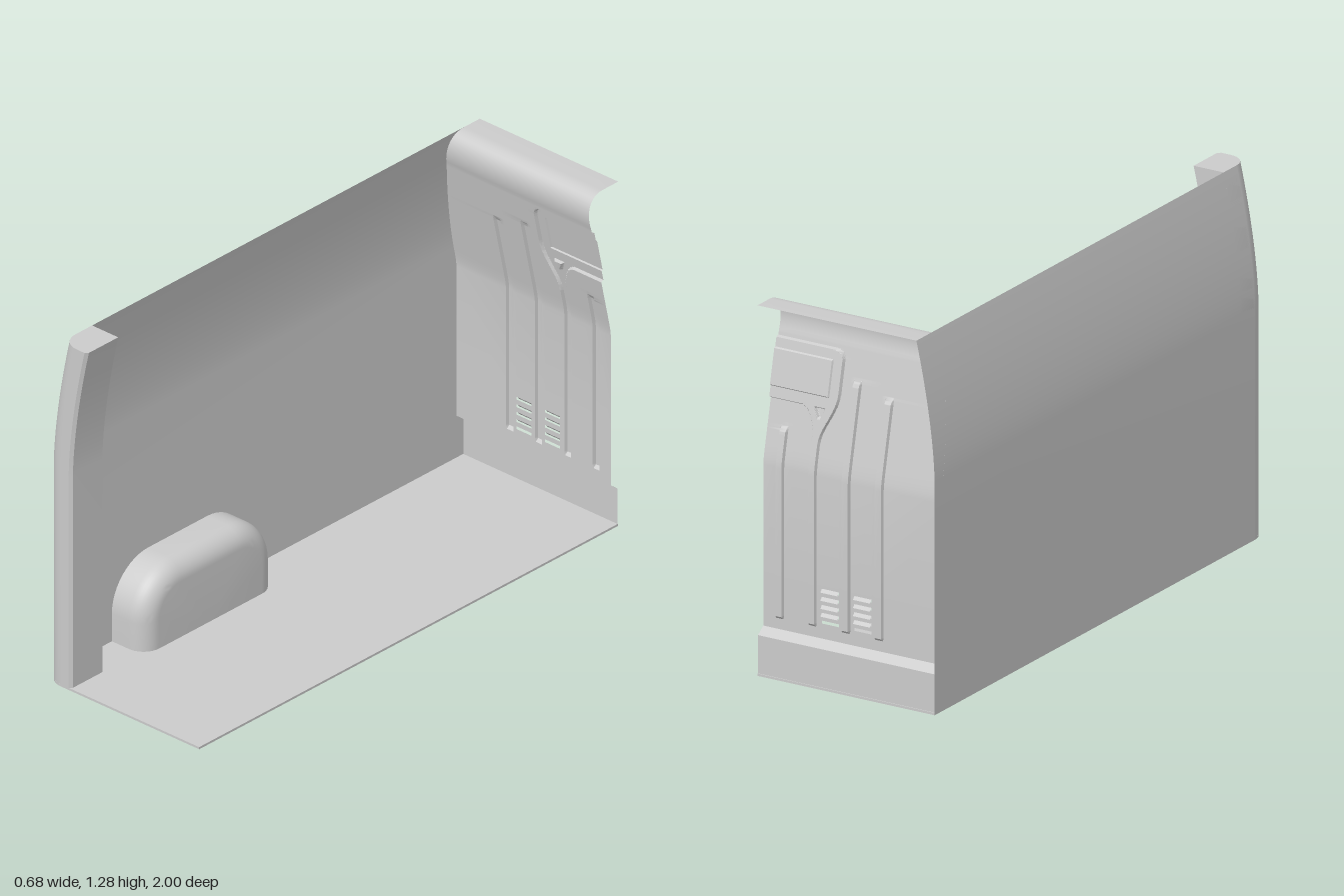
import * as THREE from 'three';
import { toCreasedNormals } from 'three/addons/utils/BufferGeometryUtils.js';

const H = 1.28, R = 0.34;
const V = (x, y, z) => new THREE.Vector3(x, y, z);
const clamp = (v) => Math.min(1, Math.max(0, v));

// outer side curve: upright below, leaning inward toward the roof
const wallX = (y) => -R + 0.07 * Math.pow(Math.max(0, (y - 0.8) / 0.48), 1.6);
const sideLevels = [0, 0.4, 0.8];
for (let i = 1; i <= 14; i++) sideLevels.push(0.8 + (0.48 * i) / 14);

// skin through rows of points; skip(i, j) leaves an opening
function skin(rows, crease = 0.5, skip = () => false) {
  const n = rows[0].length, index = [];
  for (let i = 0; i < rows.length - 1; i++) {
    for (let j = 0; j < n - 1; j++) {
      if (skip(i, j)) continue;
      const a = i * n + j, b = a + n;
      index.push(a, a + 1, b, a + 1, b + 1, b);
    }
  }
  const geo = new THREE.BufferGeometry().setFromPoints(rows.flat());
  geo.setIndex(index);
  return toCreasedNormals(geo, crease);
}

// ---- bulkhead relief -------------------------------------------------
const DEPTH = 0.011, EDGE = 0.004;
const ribs = [[-0.122, -0.09, 0.2, 1.02], [0.005, 0.037, 0.2, 1.055], [0.26, 0.29, 0.2, 0.86]];
const slotsX = [[-0.075, -0.01], [0.05, 0.115]];
const slotsY = [0.22, 0.247, 0.274, 0.302, 0.33];
const SLOT = 0.005;

const frame = new THREE.Shape();
frame.moveTo(0.135, 0.2);
frame.lineTo(0.135, 0.82);
frame.bezierCurveTo(0.135, 0.88, 0.078, 0.93, 0.078, 1.0);
frame.lineTo(0.078, 1.1);
frame.quadraticCurveTo(0.078, 1.14, 0.118, 1.14);
frame.lineTo(0.4, 1.14);
frame.lineTo(0.4, 0.94);
frame.lineTo(0.225, 0.94);
frame.bezierCurveTo(0.185, 0.94, 0.165, 0.89, 0.165, 0.83);
frame.lineTo(0.165, 0.2);
const framePts = frame.getPoints(10);
const trianglePts = [[0.125, 0.942], [0.167, 0.942], [0.152, 0.907], [0.14, 0.907]]
  .map(([x, y]) => new THREE.Vector2(x, y));

// distance inside a polygon, zero when outside
function inside(pts, x, y) {
  let hit = false, best = Infinity;
  for (let i = 0, j = pts.length - 1; i < pts.length; j = i++) {
    const a = pts[i], b = pts[j], dx = b.x - a.x, dy = b.y - a.y;
    if ((a.y > y) !== (b.y > y) && x < a.x + ((y - a.y) / dy) * dx) hit = !hit;
    const t = clamp(((x - a.x) * dx + (y - a.y) * dy) / (dx * dx + dy * dy || 1));
    best = Math.min(best, Math.hypot(x - a.x - t * dx, y - a.y - t * dy));
  }
  return hit ? best : 0;
}

function recess(x, y) {
  let d = clamp(inside(framePts, x, y) / EDGE);
  d -= clamp(inside(trianglePts, x, y) / EDGE);
  d += 0.45 * clamp(Math.min(x - 0.115, y - 0.98, 1.105 - y) / EDGE);
  for (const [x0, x1, y0, y1] of ribs) {
    d += Math.min(clamp((x - x0) / EDGE), clamp((x1 - x) / EDGE),
      clamp((y - y0) / 0.01), clamp((y1 - y) / 0.02));
  }
  return d * DEPTH;
}

// bulkhead section as [y, z]
const section = [[0, -0.997], [0.14, -0.997], [0.163, -0.965], [0.72, -0.965],
  [0.745, -0.962], [0.775, -0.956], [1.155, -0.871]];
function sectionZ(y) {
  const i = Math.max(1, section.findIndex((p) => p[0] >= y - 1e-9));
  const [y0, z0] = section[i - 1], [y1, z1] = section[i];
  return z0 + ((z1 - z0) * (y - y0)) / (y1 - y0);
}

const tidy = (list) => list.sort((a, b) => a - b).filter((v, i, s) => !i || v - s[i - 1] > 1e-4);

function bulkhead() {
  const xs = [-R, R, 0.115, 0.119], ys = section.map((p) => p[0]);
  ys.push(0.2, 0.98, 0.984, 1.101, 1.105, 1.136, 1.14);
  for (const [x0, x1, y0, y1] of ribs) {
    xs.push(x0, x0 + EDGE, x1 - EDGE, x1);
    ys.push(y0, y0 + 0.01, y1 - 0.02, y1);
  }
  for (const s of slotsX) xs.push(...s);
  for (const y of slotsY) ys.push(y - SLOT, y + SLOT);
  for (let x = 0.07; x < 0.23; x += 0.0025) xs.push(x);
  for (let y = 0.8; y < 1.15; y += 0.003) ys.push(y);
  xs.push(0.135, 0.139, 0.161, 0.165);
  tidy(xs);
  const X = tidy(xs), Y = tidy(ys);
  const row = (y, z) => X.map((x, j) => V(j ? x : wallX(y), y, z - recess(x, y)));
  const rows = Y.map((y) => row(y, sectionZ(y)));
  // rolled upper edge and flat top
  const roll = new THREE.CubicBezierCurve(new THREE.Vector2(1.155, -0.871),
    new THREE.Vector2(1.21, -0.85), new THREE.Vector2(1.28, -0.855), new THREE.Vector2(H, -0.925));
  for (const p of roll.getPoints(14).slice(1)) rows.push(row(p.x, p.y));
  rows.push(row(H, -1));
  const isSlot = (i, j) => {
    if (i >= Y.length - 1) return false;
    const x = (X[j] + X[j + 1]) / 2, y = (Y[i] + Y[i + 1]) / 2;
    return slotsX.some(([a, b]) => x > a && x < b) && slotsY.some((s) => Math.abs(y - s) < SLOT);
  };
  return skin(rows, 0.5, isSlot);
}

// ---- wheel arch: rounded outline shrinking toward the cabin ----------
function wheelArch() {
  const arch = (x, s) => {
    const z = 0.315 - s, h = 0.285 - s, r = 0.175 - s, pts = [V(x, 0, 0.365 - z)];
    for (const side of [-1, 1]) {
      for (let i = 0; i <= 12; i++) {
        const a = ((side < 0 ? i : 12 - i) / 12) * Math.PI / 2;
        pts.push(V(x, h - r + r * Math.sin(a), 0.365 + side * (z - r + r * Math.cos(a))));
      }
    }
    pts.push(V(x, 0, 0.365 + z));
    return pts;
  };
  const rows = [arch(-R, 0)];
  for (let i = 0; i <= 10; i++) {
    const a = (i / 10) * Math.PI / 2;
    rows.push(arch(-0.265 + 0.07 * Math.sin(a), 0.07 * (1 - Math.cos(a))));
  }
  rows.push(rows[rows.length - 1].map(() => V(-0.195, 0, 0.365)));
  return skin(rows, 0.6);
}

// ---- corner pillar: one section swept up the side curve --------------
function pillar() {
  const loop = [[0, 0.85]];
  for (let i = 0; i <= 8; i++) {
    const a = (i / 8) * Math.PI / 2;
    loop.push([0.07 * (1 - Math.cos(a)), 0.93 + 0.07 * Math.sin(a)]);
  }
  loop.push([0.105, 1], [0.115, 0.99], [0.115, 0.85], [0, 0.85]);
  const rows = sideLevels.map((y) => loop.map(([x, z]) => V(wallX(y) + x, y, z)));
  rows.push(loop.map(() => V(wallX(H) + 0.06, H, 0.92)));
  return skin(rows, 0.6);
}

function floorPlate() {
  const s = new THREE.Shape();
  s.moveTo(-R, 1);
  s.lineTo(R, 1);
  s.lineTo(R, -1);
  s.lineTo(-R + 0.07, -1);
  s.absarc(-R + 0.07, -0.93, 0.07, -Math.PI / 2, -Math.PI, true);
  const geo = new THREE.ExtrudeGeometry(s, { depth: 0.008, bevelEnabled: false, curveSegments: 8 });
  return geo.rotateX(-Math.PI / 2);
}

export function createModel() {
  const group = new THREE.Group();
  const material = new THREE.MeshStandardMaterial({ color: 0xcccccc, side: THREE.DoubleSide });
  const add = (name, geo) => {
    const mesh = new THREE.Mesh(geo, material);
    mesh.name = name;
    group.add(mesh);
    return mesh;
  };
  add('floor', floorPlate());
  add('sideWall', skin(sideLevels.map((y) => [-1, 0.93].map((z) => V(wallX(y), y, z)))));
  add('cornerPillar', pillar());
  add('wheelArch', wheelArch());
  add('bulkhead', bulkhead());
  // tilted slats behind the upper vent slots
  for (const [x0, x1] of slotsX) {
    for (const y of slotsY.slice(1)) {
      const slat = add('ventSlat', new THREE.PlaneGeometry(x1 - x0, 0.014));
      slat.position.set((x0 + x1) / 2, y, -0.97);
      slat.rotation.x = 0.7;
    }
  }
  return group;
}
